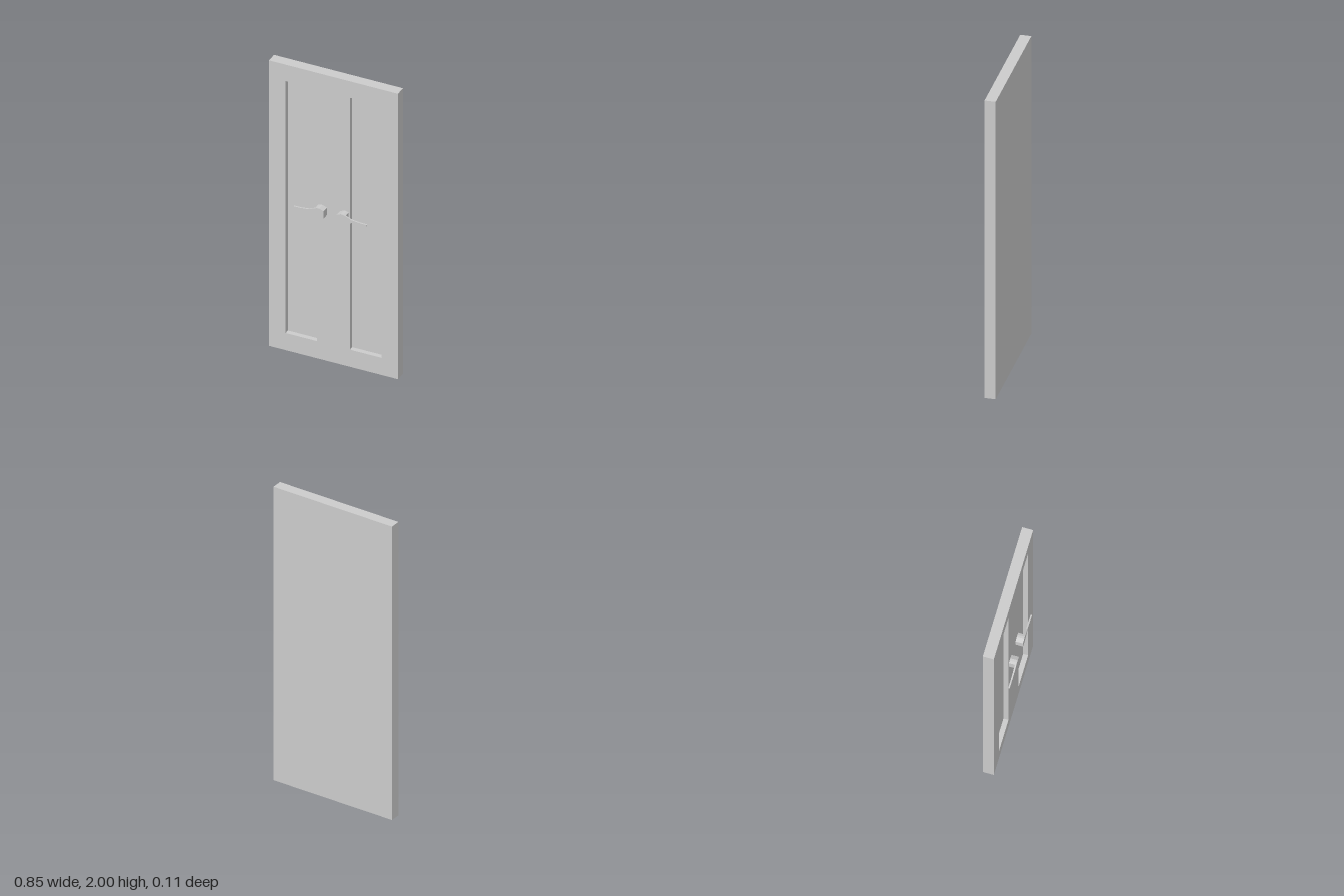
import * as THREE from 'three';

const BACK = -0.058, FRONT = 0.01, RECESS = -0.021, TIP = 0.056;

function outline(points) {
  return points.map(([x, y]) => new THREE.Vector2(x, y));
}

function rect(x0, x1, y0, y1) {
  return outline([[x0, y0], [x1, y0], [x1, y1], [x0, y1]]);
}

export function createModel() {
  const model = new THREE.Group();
  model.name = 'doublePanelDoor';
  const material = new THREE.MeshStandardMaterial({ color: 0xcccccc, flatShading: true });

  // Extrudes a flat shape between two z planes
  function slab(name, shape, z0, z1, parent) {
    const geometry = new THREE.ExtrudeGeometry(shape, { depth: z1 - z0, bevelEnabled: false });
    geometry.translate(0, 0, z0);
    const mesh = new THREE.Mesh(geometry, material);
    mesh.name = name;
    parent.add(mesh);
  }

  // Door leaf: one front frame with two tall recesses, over a solid back
  const door = new THREE.Group();
  door.name = 'door';
  model.add(door);
  const frame = new THREE.Shape(rect(-0.424, 0.424, 0, 2));
  for (const side of [-1, 1]) {
    frame.holes.push(new THREE.Path(rect(side * 0.108, side * 0.315, 0.12, 1.885)));
  }
  slab('doorFrame', frame, RECESS, FRONT, door);
  slab('doorBack', new THREE.Shape(rect(-0.424, 0.424, 0, 2)), BACK, RECESS, door);

  // Handle profiles: a deep grip block and a thin tapering lever
  const block = [[0.043, 1.022], [0.07, 1.01], [0.085, 1.013], [0.1, 1.021],
    [0.1, 1.079], [0.085, 1.084], [0.07, 1.085], [0.043, 1.073]];
  const lever = [[0.1, 1.021], [0.14, 1.041], [0.175, 1.044], [0.24, 1.044],
    [0.24, 1.055], [0.19, 1.056], [0.14, 1.062], [0.1, 1.079]];

  for (const [side, label] of [[1, 'left'], [-1, 'right']]) {
    const handle = new THREE.Group();
    handle.name = label + 'Handle';
    const mirrored = (points) => new THREE.Shape(outline(points.map(([x, y]) => [side * x, y])));
    slab(label + 'HandleBlock', mirrored(block), FRONT, TIP, handle);
    slab(label + 'HandleLever', mirrored(lever), 0.047, TIP, handle);
    model.add(handle);
  }
  return model;
}
